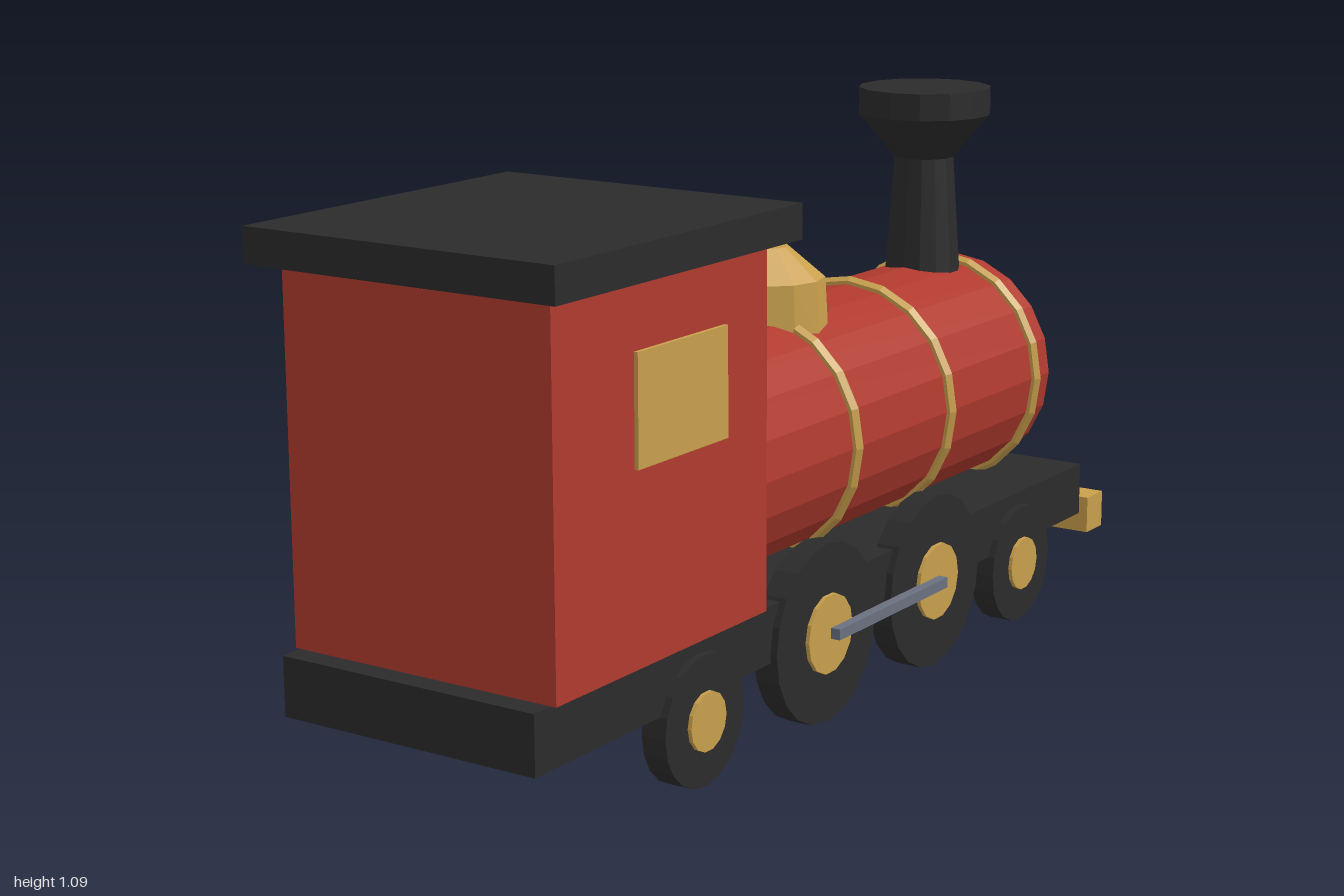
import * as THREE from 'three';

const mat = (name, color) => {
  const m = new THREE.MeshStandardMaterial({ color });
  m.name = name;
  m.flatShading = true;
  return m;
};

export function createModel() {
  const red = mat('red paint', 0xb03a2e);
  const black = mat('black iron', 0x2b2b2b);
  const brass = mat('brass', 0xc89f4c);
  const steel = mat('steel', 0x6b7080);

  const group = new THREE.Group();
  group.name = 'steamLocomotive';

  const add = (name, geometry, material, x, y, z) => {
    const mesh = new THREE.Mesh(geometry, material);
    mesh.name = name;
    mesh.position.set(x, y, z);
    group.add(mesh);
    return mesh;
  };
  // Box given by its half width in x and its y and z ranges
  const block = (name, material, hx, y0, y1, z0, z1) =>
    add(name, new THREE.BoxGeometry(hx * 2, y1 - y0, z1 - z0), material, 0, (y0 + y1) / 2, (z0 + z1) / 2);
  // Turned part from [radius, height] pairs
  const turned = (points, sides) =>
    new THREE.LatheGeometry(points.map(([r, y]) => new THREE.Vector2(r, y)), sides);

  // Chassis, cab and fittings
  block('chassis', black, 0.27, 0.16, 0.27, -0.93, 1.0);
  block('cab', red, 0.281, 0.27, 0.945, 0.33, 0.955);
  block('cabRoof', black, 0.325, 0.945, 1.01, 0.285, 1.0);
  block('bufferBeam', brass, 0.29, 0.12, 0.197, -1.0, -0.93);
  block('headlamp', brass, 0.079, 0.43, 0.56, -0.895, -0.835);

  // Boiler lying along z, with brass bands
  const boilerY = 0.485;
  const boilerGeo = new THREE.CylinderGeometry(0.235, 0.235, 1.17, 20).rotateX(Math.PI / 2);
  add('boiler', boilerGeo, red, 0, boilerY, -0.255);
  const bandGeo = new THREE.TorusGeometry(0.235, 0.015, 6, 20);
  for (const z of [0.305, -0.055, -0.415, -0.775]) add('boilerBand', bandGeo, brass, 0, boilerY, z);

  // Steam dome
  add('steamDome', turned([[0, 0.66], [0.119, 0.68], [0.113, 0.785], [0.042, 0.845], [0, 0.845]], 12),
    brass, 0, 0, -0.103);

  // Chimney with flared top
  add('chimney', turned([[0, 0.68], [0.079, 0.7], [0.062, 0.945], [0.138, 1.035], [0.138, 1.09], [0, 1.09]], 14),
    black, 0, 0, -0.705);

  // Wheels: [z, radius, hub radius]
  const wheels = [[0.53, 0.122, 0.055], [0.125, 0.174, 0.077], [-0.28, 0.174, 0.077], [-0.64, 0.122, 0.055]];
  for (const side of [-1, 1]) {
    for (const [z, r, hub] of wheels) {
      const wheelGeo = new THREE.CylinderGeometry(r, r, 0.05, 20).rotateZ(Math.PI / 2);
      const hubGeo = new THREE.CylinderGeometry(hub, hub, 0.05, 14).rotateZ(Math.PI / 2);
      add('wheel', wheelGeo, black, side * 0.259, r, z);
      add('wheelHub', hubGeo, brass, side * 0.267, r, z);
    }
    // Coupling rod and cab window
    add('couplingRod', new THREE.BoxGeometry(0.021, 0.021, 0.405), steel, side * 0.301, 0.175, -0.0775);
    add('cabWindow', new THREE.BoxGeometry(0.009, 0.2, 0.267), brass, side * 0.2845, 0.72, 0.598);
  }
  return group;
}
